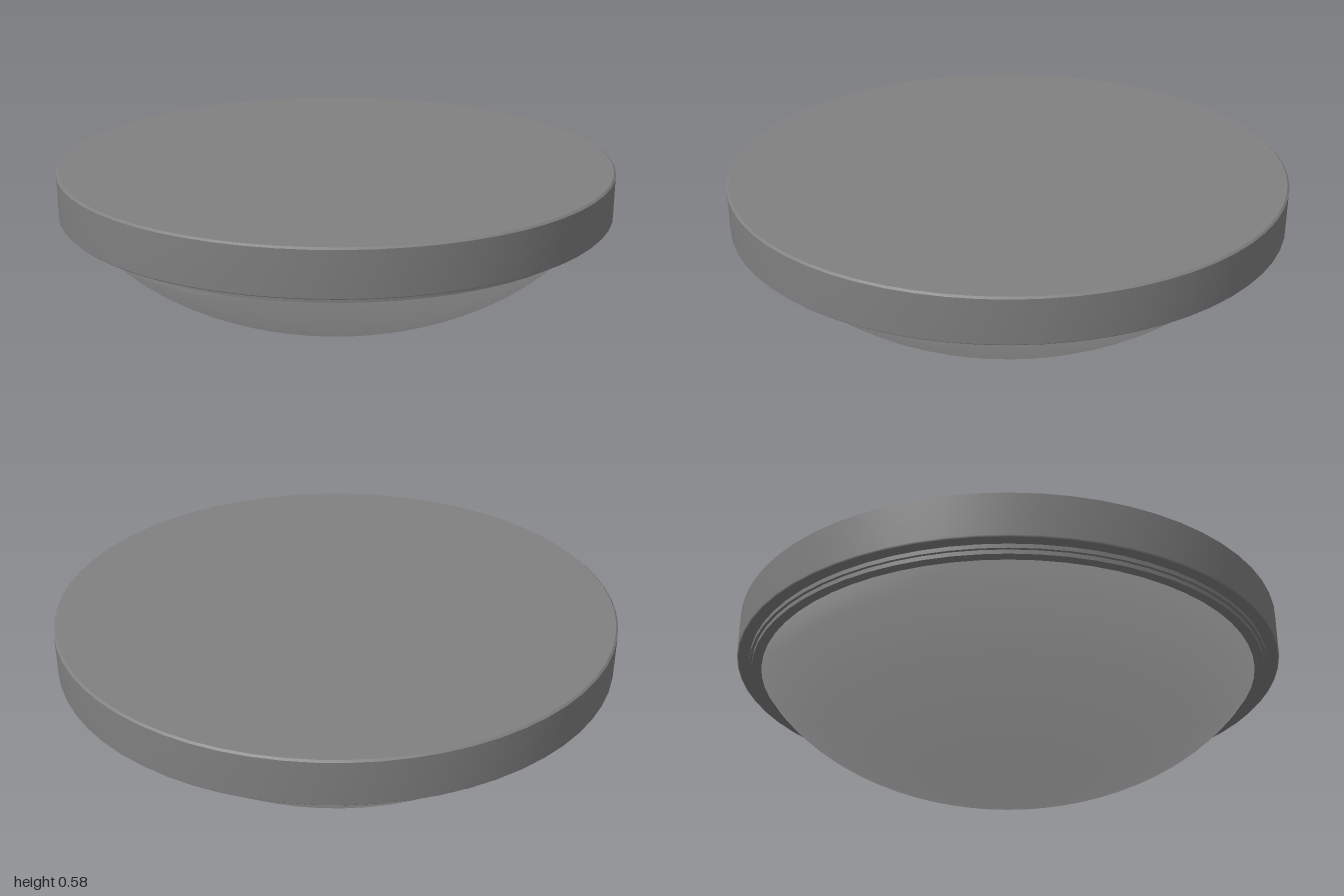
import * as THREE from 'three';

const SEGMENTS = 64;

// Sharp-edged ring surface: each profile segment is lathed separately so edges stay crisp
function turned(name, strips, material) {
  const group = new THREE.Group();
  group.name = name;
  for (const strip of strips) {
    const points = strip.map(([r, y]) => new THREE.Vector2(r, y));
    const mesh = new THREE.Mesh(new THREE.LatheGeometry(points, SEGMENTS), material);
    mesh.name = name + 'Surface';
    group.add(mesh);
  }
  return group;
}

export function createModel() {
  const metal = new THREE.MeshStandardMaterial({ color: 0x808080 });
  metal.name = 'grey metal';
  const glass = new THREE.MeshStandardMaterial({ color: 0xd8d8d8 });
  glass.name = 'frosted glass';

  const lamp = new THREE.Group();
  lamp.name = 'ceilingLamp';

  // Round housing with a tiny softened top edge and a closed top
  lamp.add(turned('housing', [
    [[0.955, 0.42], [0.995, 0.42]],
    [[0.995, 0.42], [1, 0.425], [1, 0.578]],
    [[1, 0.578], [0.993, 0.584]],
    [[0.993, 0.584], [0, 0.584]],
  ], metal));

  // Stepped retaining ring under the housing
  lamp.add(turned('retainingRing', [
    [[0.955, 0.405], [0.955, 0.42]],
    [[0.945, 0.405], [0.955, 0.405]],
    [[0.945, 0.39], [0.945, 0.405]],
    [[0.9, 0.39], [0.945, 0.39]],
  ], metal));

  // Shallow glass bowl: lower part of an ellipsoid
  const bowl = [];
  const steps = 24;
  const rimAngle = Math.acos(0.25 / 0.635);
  for (let i = 0; i <= steps; i++) {
    const a = (rimAngle * i) / steps;
    bowl.push([0.99 * Math.sin(a), 0.64 - 0.635 * Math.cos(a)]);
  }
  bowl[0][0] = 0;
  lamp.add(turned('glassBowl', [bowl], glass));

  lamp.position.y = -0.005;
  const model = new THREE.Group();
  model.add(lamp);
  return model;
}
